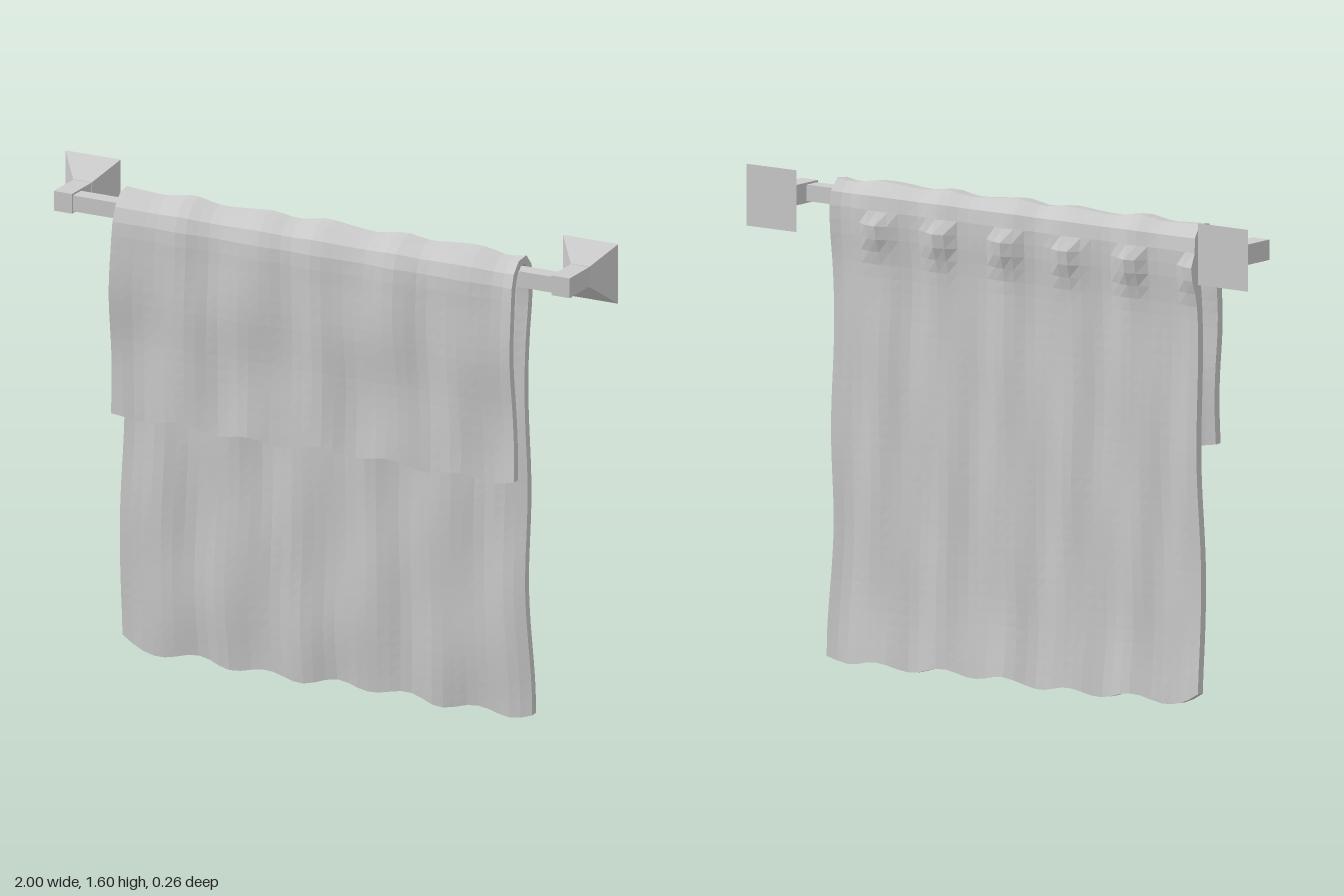
import * as THREE from 'three';

const material = new THREE.MeshStandardMaterial({ color: 0xcccccc, flatShading: true });

function add(group, name, geometry, x, y, z) {
  const mesh = new THREE.Mesh(geometry, material);
  mesh.name = name;
  mesh.position.set(x, y, z);
  group.add(mesh);
  return mesh;
}

const bump = (v, centre, width) => Math.exp(-(((v - centre) / width) ** 2));

// Cloth draped over the rail: a thick section swept across x with soft folds
function towelGeometry() {
  const NX = 38, NS = 54, HALF = 0.013;
  // centre line of the cloth as [z, y], front hem -> over the rail -> back hem
  const path = [
    [0.102, 0.835], [0.097, 0.95], [0.095, 1.08], [0.102, 1.25], [0.098, 1.4], [0.092, 1.49],
    [0.072, 1.535], [0.03, 1.562], [-0.008, 1.545], [-0.022, 1.5], [-0.022, 1.42], [-0.013, 1.3],
    [-0.013, 1.0], [-0.012, 0.7], [-0.009, 0.4], [-0.009, 0.2], [-0.018, 0.018],
  ].map(([z, y]) => new THREE.Vector3(0, y, z));
  const curve = new THREE.CatmullRomCurve3(path, false, 'centripetal');
  curve.arcLengthDivisions = 800;
  const samples = [];
  for (let j = 0; j <= NS; j++) {
    samples.push({ p: curve.getPointAt(j / NS), t: curve.getTangentAt(j / NS), s: j / NS });
  }

  const positions = [], index = [], ring = 2 * (NS + 1);
  const point = (u, { p, t, s }, side) => {
    const front = 1 - THREE.MathUtils.smoothstep(s, 0.3, 0.38);
    // side edges wander slightly down each flap
    const left = -0.72 + 0.02 * front - 0.012 * bump(p.y, 0.2, 0.3) * (1 - front);
    const right = 0.74 + 0.015 * bump(p.y, front > 0.5 ? 0.83 : 0, 0.35);
    const x = THREE.MathUtils.lerp(left, right, u) + 0.004 * Math.sin(p.y * 9 + u * 7);
    const fold = Math.cos((2 * Math.PI * (x - 0.05)) / 0.253);
    const wrinkle = Math.sin(x * 41 + p.y * 5) * 0.35 + Math.sin(x * 13 - p.y * 11) * 0.45;
    let push = 0.006 * fold + 0.005 * wrinkle;
    // bunched pleats behind the rail
    if (s > 0.38 && side > 0) push += 0.022 * Math.max(fold, 0) * bump(p.y, 1.43, 0.07);
    const d = push + side * HALF;
    // wavy hems, with one lifted back corner
    const hem = bump(s, 0, 0.08) + bump(s, 1, 0.08);
    let y = p.y - t.z * d + hem * (0.011 * fold + 0.005 * Math.sin(x * 9));
    if (s > 0.9) y += 0.04 * bump(x, -0.75, 0.05) * bump(s, 1, 0.06);
    return [x, Math.max(y, 0), p.z + t.y * d];
  };

  for (let i = 0; i <= NX; i++) {
    for (const q of samples) positions.push(...point(i / NX, q, 1));
    for (let j = NS; j >= 0; j--) positions.push(...point(i / NX, samples[j], -1));
  }
  const quad = (a, b, c, d) => index.push(a, b, c, a, c, d);
  for (let i = 0; i < NX; i++) {
    for (let k = 0; k < ring; k++) {
      const n = (k + 1) % ring, a = i * ring, b = a + ring;
      quad(a + k, b + k, b + n, a + n);
    }
  }
  // side edges
  const end = NX * ring;
  for (let j = 0; j < NS; j++) {
    const inner = ring - 1 - j;
    quad(end + j, end + inner, end + inner - 1, end + j + 1);
    quad(j, j + 1, inner - 1, inner);
  }
  const geometry = new THREE.BufferGeometry();
  geometry.setAttribute('position', new THREE.Float32BufferAttribute(positions, 3));
  geometry.setIndex(index);
  const flat = geometry.toNonIndexed();
  flat.computeVertexNormals();
  return flat;
}

export function createModel() {
  const model = new THREE.Group();
  model.name = 'towelRail';
  const Y = 1.505;

  // Rail
  add(model, 'rail', new THREE.BoxGeometry(1.74, 0.053, 0.055), 0, Y, 0.034);

  // Wall brackets: tapered square plate and a square arm
  for (const side of [-1, 1]) {
    const bracket = new THREE.Group();
    bracket.name = side > 0 ? 'leftBracket' : 'rightBracket';
    const plate = new THREE.CylinderGeometry(0.034 * Math.SQRT2, 0.1 * Math.SQRT2, 0.07, 4);
    plate.rotateY(Math.PI / 4);
    plate.rotateX(Math.PI / 2);
    add(bracket, 'wallPlate', plate, side * 0.9, Y, -0.1);
    add(bracket, 'arm', new THREE.BoxGeometry(0.066, 0.066, 0.133), side * 0.9, Y, 0.0005);
    model.add(bracket);
  }

  // Towel
  add(model, 'towel', towelGeometry(), 0, 0, 0);
  return model;
}
